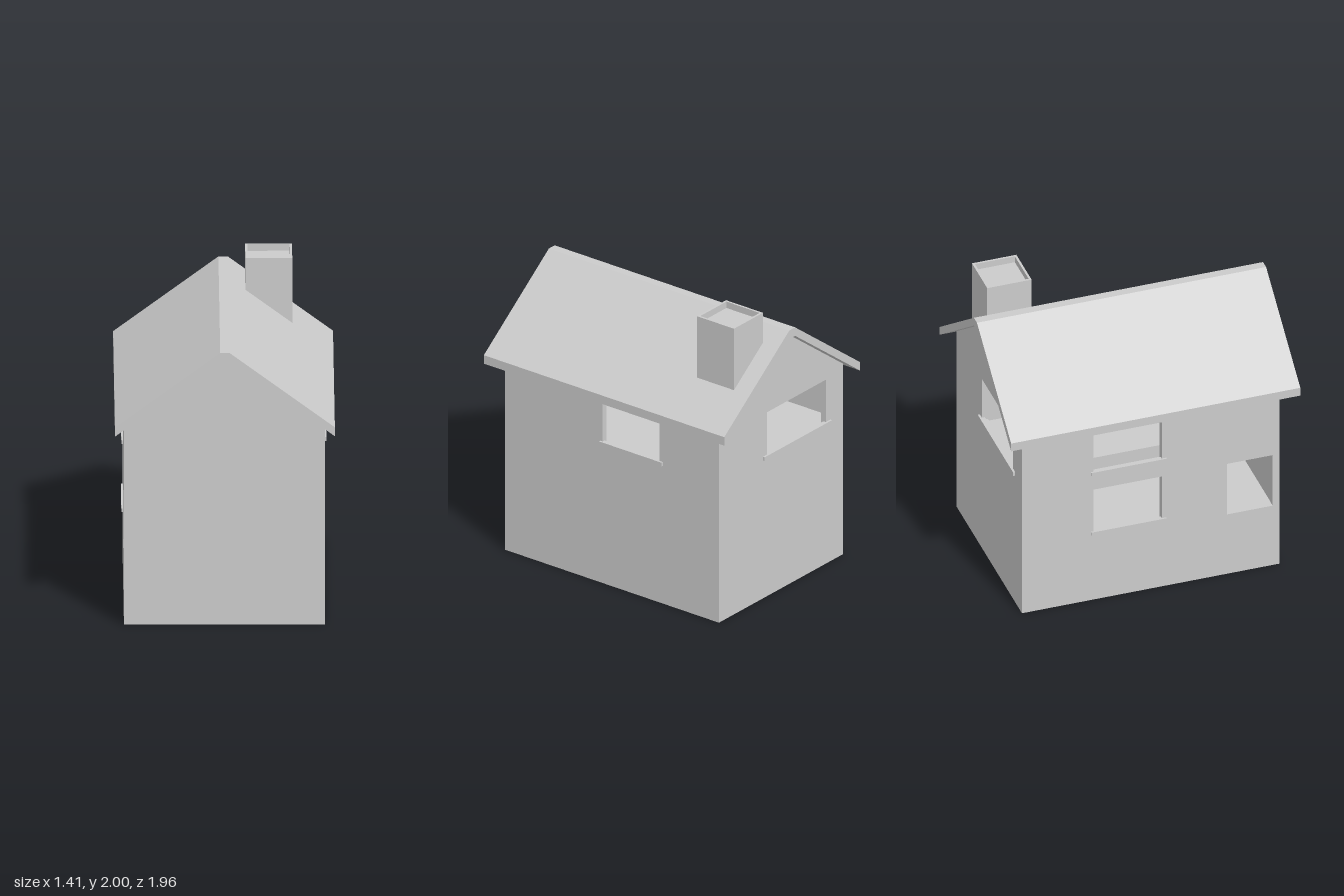
import * as THREE from 'three';

const grey = new THREE.MeshStandardMaterial({ color: 0xcccccc, flatShading: true });
const T = 0.04; // wall thickness
const X0 = -0.645, X1 = 0.64, Z0 = -0.885, Z1 = 0.855;

// closed outline with rectangular openings [a0, a1, y0, y1]
function outline(points, openings = []) {
  const shape = new THREE.Shape(points.map(([a, b]) => new THREE.Vector2(a, b)));
  for (const [a0, a1, y0, y1] of openings) {
    shape.holes.push(new THREE.Path([[a0, y0], [a0, y1], [a1, y1], [a1, y0]]
      .map(([a, b]) => new THREE.Vector2(a, b))));
  }
  return shape;
}

const slab = (shape, depth) => new THREE.ExtrudeGeometry(shape, { depth, bevelEnabled: false });

export function createModel() {
  const house = new THREE.Group();
  house.name = 'house';

  const add = (name, geometry) => {
    const mesh = new THREE.Mesh(geometry, grey);
    mesh.name = name;
    house.add(mesh);
    return mesh;
  };
  // box given by its limits
  const box = (name, x0, x1, y0, y1, z0, z1) =>
    add(name, new THREE.BoxGeometry(x1 - x0, y1 - y0, z1 - z0))
      .position.set((x0 + x1) / 2, (y0 + y1) / 2, (z0 + z1) / 2);

  // gable walls, the back one with a wide window
  const gable = [[X0, 0], [X1, 0], [X1, 1.355], [0.03, 1.81], [-0.03, 1.81], [X0, 1.355]];
  add('frontWall', slab(outline(gable), T)).position.z = Z1 - T;
  add('backWall', slab(outline(gable, [[-0.466, 0.143, 0.99, 1.305]]), T)).position.z = Z0;

  // side walls, drawn along z and turned upright
  const side = [[Z0 + T, 0], [Z1 - T, 0], [Z1 - T, 1.355], [Z0 + T, 1.355]];
  const sideWall = (name, x, openings) =>
    add(name, slab(outline(side, openings), T).rotateY(-Math.PI / 2)).position.x = x;
  sideWall('rightWindowWall', X1, [[-0.4, 0.06, 0.99, 1.28]]);
  sideWall('leftWindowWall', X0 + T, [
    [-0.4, 0.06, 0.975, 1.28],
    [-0.4, 0.06, 0.515, 0.848],
    [0.5, 0.81, 0.458, 0.848],
  ]);

  // floors
  box('base', X0 + T, X1 - T, 0, 0.03, Z0 + T, Z1 - T);
  box('lowerFloor', X0 + T, X1 - T, 0.41, 0.45, Z0 + T, Z1 - T);
  box('upperFloor', X0 + T, X1 - T, 0.93, 0.975, Z0 + T, Z1 - T);
  box('innerLedge', X0 + T, X0 + T + 0.02, 0.975, 1.065, -0.42, 0.08);

  // window sills
  box('rightSill', X1 - 0.02, X1 + 0.014, 0.978, 1.005, -0.43, 0.08);
  for (const y of [0.963, 0.503]) box('leftSill', X0 - 0.012, X0 + 0.02, y, y + 0.024, -0.42, 0.09);
  box('backSill', -0.512, 0.184, 0.978, 1.005, Z0 - 0.014, Z0 + 0.02);

  // roof with a narrow flat ridge
  const top = [[-0.703, 1.368], [-0.03, 1.87], [0.03, 1.87], [0.703, 1.368]];
  const under = top.map(([x, y]) => [x, y - 0.06]).reverse();
  add('roof', slab(outline([...top, ...under]), 1.955)).position.z = -0.978;

  // chimney standing on the upper floor, with a recessed top
  box('chimney', 0.14, 0.44, 0.975, 1.955, -0.85, -0.55);
  const rim = new THREE.Shape([[0.14, 0.55], [0.44, 0.55], [0.44, 0.85], [0.14, 0.85]]
    .map(([a, b]) => new THREE.Vector2(a, b)));
  rim.holes.push(new THREE.Path([[0.155, 0.565], [0.155, 0.835], [0.425, 0.835], [0.425, 0.565]]
    .map(([a, b]) => new THREE.Vector2(a, b))));
  add('chimneyRim', slab(rim, 0.045).rotateX(-Math.PI / 2)).position.y = 1.955;

  return house;
}
